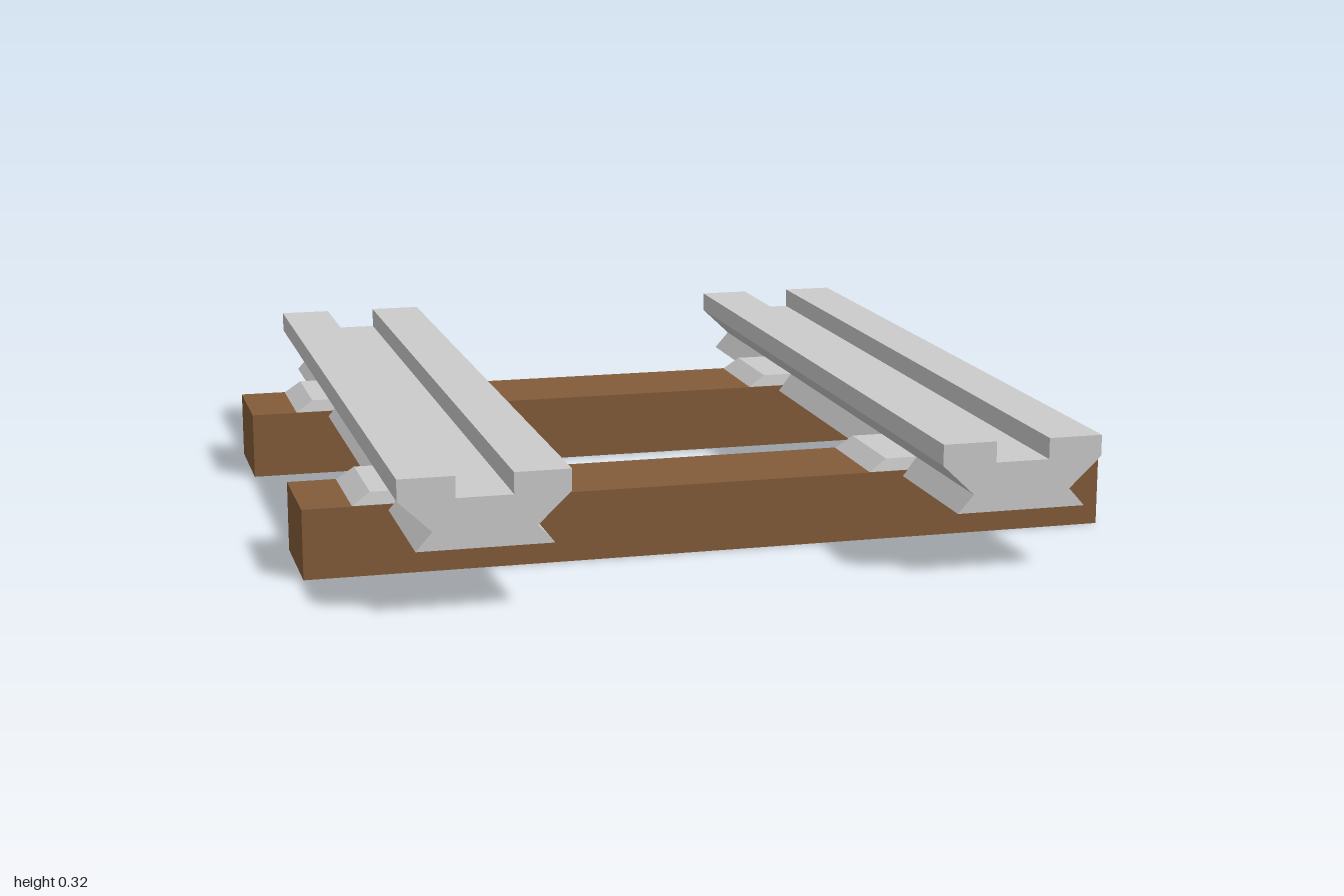
import * as THREE from 'three';

const GAUGE = 0.63;   // rail centre from the middle
const SPACING = 0.5;  // sleeper centre from the middle
const SLEEPER_TOP = 0.168;

const steel = new THREE.MeshStandardMaterial({ color: 0xcccccc, flatShading: true });
const wood = new THREE.MeshStandardMaterial({ color: 0x835c3a, flatShading: true });

// Grooved rail section, right half from groove floor to foot, mirrored for the left
function railGeometry() {
  const half = [[0.065, 0.27], [0.065, 0.32], [0.195, 0.32], [0.195, 0.27], [0.118, 0.197], [0.156, 0.154]];
  const outline = [...half, ...half.map(([x, y]) => [-x, y]).reverse()];
  const shape = new THREE.Shape(outline.map(([x, y]) => new THREE.Vector2(x, y)));
  return new THREE.ExtrudeGeometry(shape, { depth: 2, bevelEnabled: false }).translate(0, 0, -1);
}

// Bearing plate: a box whose top face is drawn inwards
function plateGeometry() {
  const height = 0.032;
  const geometry = new THREE.BoxGeometry(0.486, height, 0.26);
  const p = geometry.attributes.position;
  for (let i = 0; i < p.count; i++) {
    if (p.getY(i) > 0) p.setXYZ(i, p.getX(i) * 0.81, p.getY(i), p.getZ(i) * 0.955);
  }
  geometry.computeVertexNormals();
  return geometry.translate(0, SLEEPER_TOP - 0.002 + height / 2, 0);
}

export function createModel() {
  const group = new THREE.Group();
  group.name = 'trackSection';
  const add = (name, geometry, material, x, z) => {
    const mesh = new THREE.Mesh(geometry, material);
    mesh.name = name;
    mesh.position.set(x, 0, z);
    group.add(mesh);
  };

  const rail = railGeometry();
  const plate = plateGeometry();
  const sleeper = new THREE.BoxGeometry(1.974, SLEEPER_TOP, 0.266).translate(0, SLEEPER_TOP / 2, 0);

  // Two rails along z
  for (const side of [-1, 1]) add(side > 0 ? 'leftRail' : 'rightRail', rail, steel, side * GAUGE, 0);

  // Two sleepers across, each with a plate under either rail
  for (const end of [-1, 1]) {
    const place = end > 0 ? 'front' : 'back';
    add(place + 'Sleeper', sleeper, wood, 0, end * SPACING);
    for (const side of [-1, 1]) {
      add(place + (side > 0 ? 'Left' : 'Right') + 'Plate', plate, steel, side * GAUGE, end * SPACING);
    }
  }
  return group;
}
